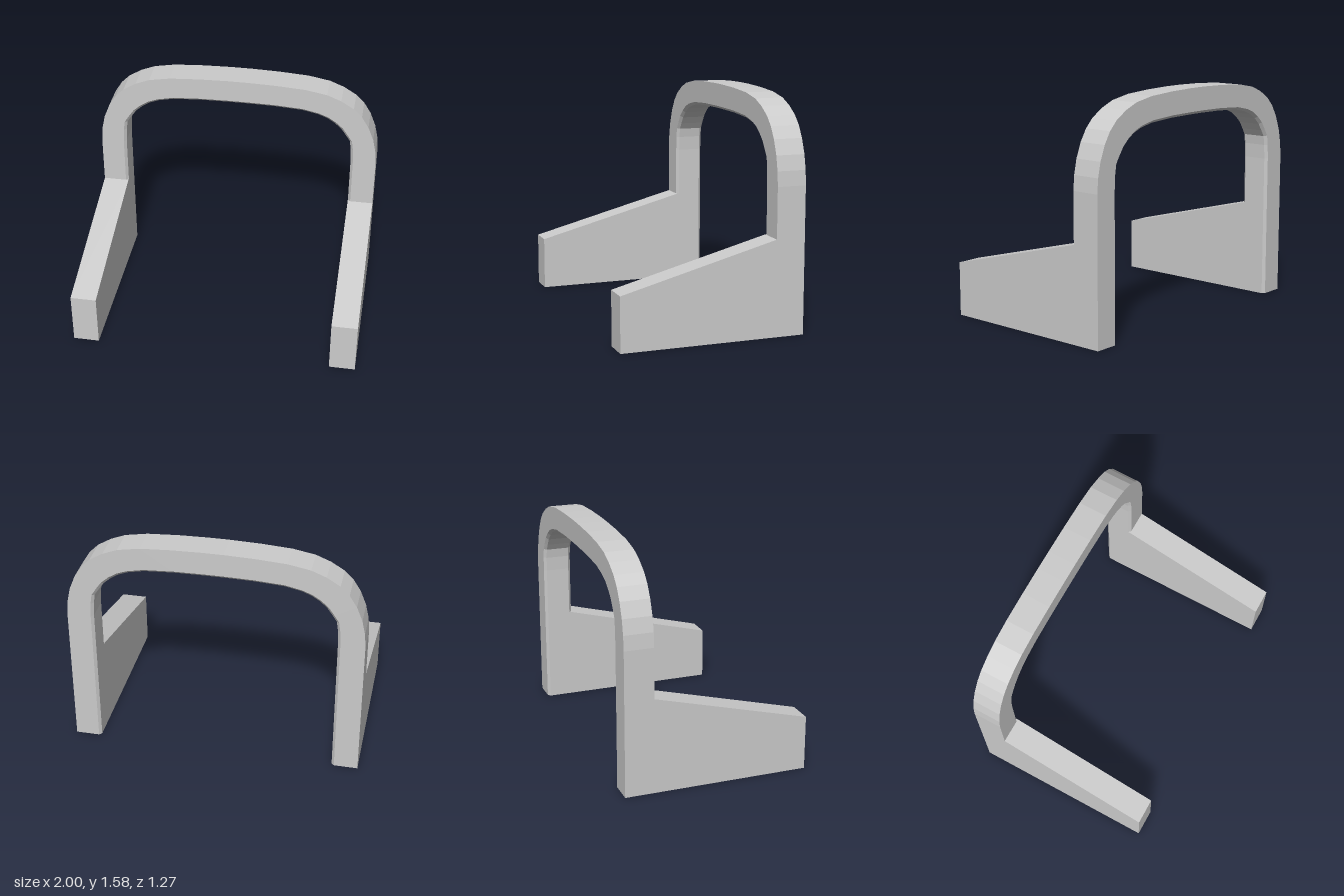
import * as THREE from 'three';

const BACK = -0.635, FACE = -0.435, FRONT = 0.635; // depth limits
const BEVEL = 0.018, LEG_TOP = 0.655;

// Arch stations from foot to crown: outer x, y, inner x, y, front bevel
const HALF = [
  [1, 0, 0.82, 0, 0],
  [1, LEG_TOP, 0.82, LEG_TOP, 0],
  [1, LEG_TOP, 0.82, LEG_TOP, BEVEL],
  [1, 1.0, 0.82, 1.0, BEVEL],
  [0.992, 1.1, 0.815, 1.1, BEVEL],
  [0.97, 1.2, 0.805, 1.165, BEVEL],
  [0.93, 1.3, 0.775, 1.21, BEVEL],
  [0.88, 1.38, 0.74, 1.26, BEVEL],
  [0.82, 1.44, 0.69, 1.305, BEVEL],
  [0.73, 1.495, 0.635, 1.34, BEVEL],
  [0.63, 1.535, 0.57, 1.365, BEVEL],
  [0.48, 1.562, 0.46, 1.388, BEVEL],
  [0.27, 1.575, 0.26, 1.4, BEVEL],
  [0.07, 1.58, 0.07, 1.403, BEVEL],
];

// Loft of a rectangular section whose inner edges are chamfered
function archGeometry() {
  const mirrored = HALF.map(([ox, oy, ix, iy, b]) => [-ox, oy, -ix, iy, b]).reverse();
  const stations = [...HALF, ...mirrored];
  const pos = [], index = [], n = 6;
  for (const [ox, oy, ix, iy, b] of stations) {
    const len = Math.hypot(ox - ix, oy - iy);
    const dx = (ox - ix) / len, dy = (oy - iy) / len;
    pos.push(
      ox, oy, FACE,
      ox, oy, BACK,
      ix + dx * BEVEL, iy + dy * BEVEL, BACK,
      ix, iy, BACK + BEVEL,
      ix, iy, FACE - b,
      ix + dx * b, iy + dy * b, FACE,
    );
  }
  const last = (stations.length - 1) * n;
  for (let s = 0; s < last; s += n) {
    for (let i = 0; i < n; i++) {
      const j = (i + 1) % n;
      index.push(s + i, s + j, s + n + j, s + i, s + n + j, s + n + i);
    }
  }
  // Soles of the two legs
  for (let k = 1; k < n - 1; k++) {
    index.push(0, k + 1, k, last, last + k, last + k + 1);
  }
  const geo = new THREE.BufferGeometry();
  geo.setAttribute('position', new THREE.Float32BufferAttribute(pos, 3));
  geo.setIndex(index);
  const flat = geo.toNonIndexed();
  flat.computeVertexNormals();
  return flat;
}

// Sloped side panel, drawn in depth/height and extruded across its width
function panelGeometry() {
  const shape = new THREE.Shape([
    new THREE.Vector2(-FRONT, 0),
    new THREE.Vector2(-FACE, 0),
    new THREE.Vector2(-FACE, LEG_TOP),
    new THREE.Vector2(-FRONT, 0.372),
  ]);
  const geo = new THREE.ExtrudeGeometry(shape, { depth: 0.18, bevelEnabled: false });
  geo.rotateY(Math.PI / 2); // shape x becomes -z, extrusion becomes +x
  return geo;
}

export function createModel() {
  const group = new THREE.Group();
  group.name = 'archFrame';
  const material = new THREE.MeshStandardMaterial({ color: 0xcccccc, flatShading: true });

  const arch = new THREE.Mesh(archGeometry(), material);
  arch.name = 'arch';
  group.add(arch);

  const panel = panelGeometry();
  for (const [name, x] of [['leftSidePanel', 0.82], ['rightSidePanel', -1]]) {
    const mesh = new THREE.Mesh(panel, material);
    mesh.name = name;
    mesh.position.x = x;
    group.add(mesh);
  }
  return group;
}
